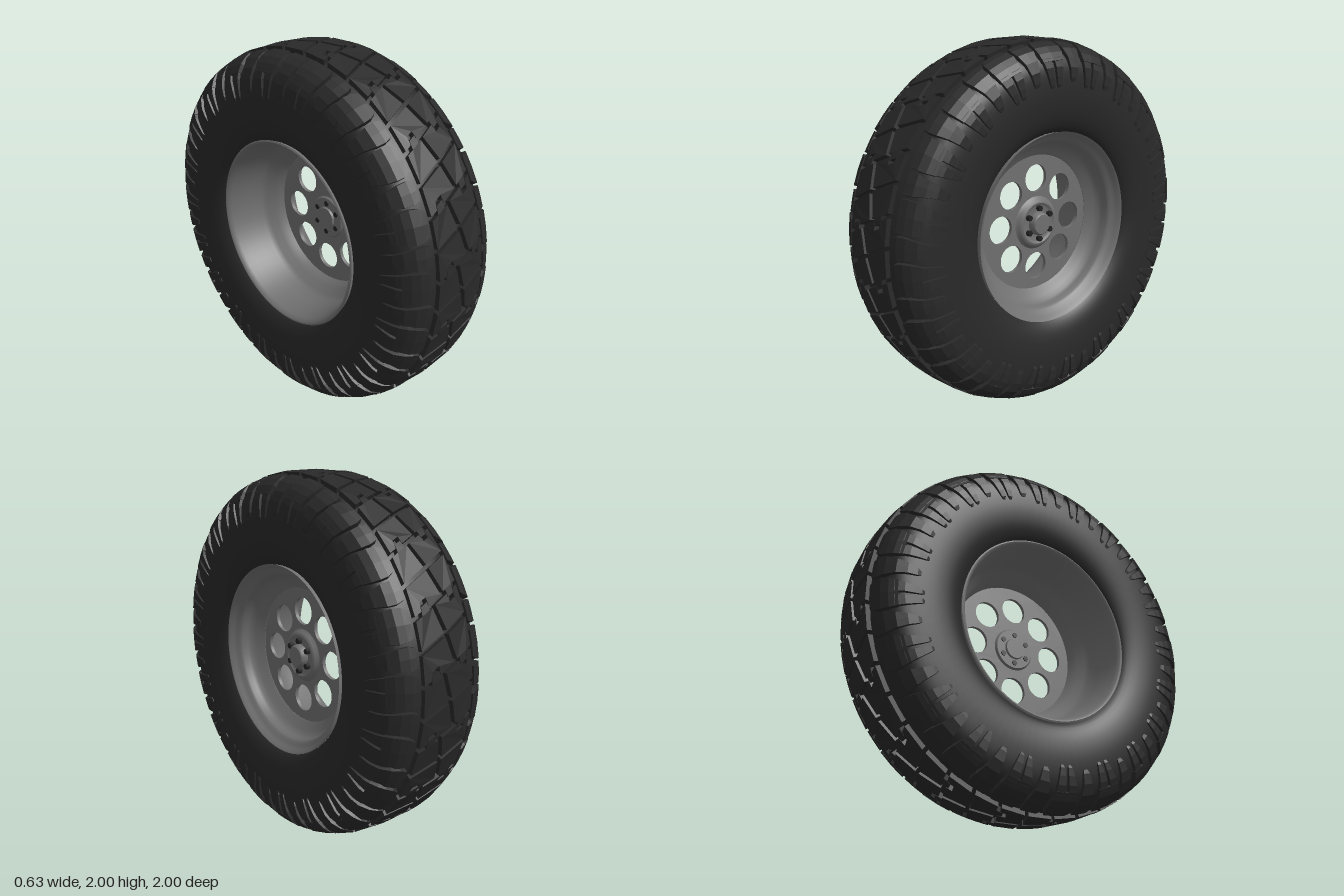
import * as THREE from 'three';
import { mergeGeometries, toCreasedNormals } from 'three/addons/utils/BufferGeometryUtils.js';

const PITCHES = 20;
const SLANT = 0.45;
const V2 = (p) => new THREE.Vector2(p[0], p[1]);

// Half of the tyre section as (x, radius), from tread centre to bead
const section = new THREE.SplineCurve([
  [0, 0.971], [0.1, 0.968], [0.17, 0.957], [0.235, 0.933], [0.277, 0.893], [0.298, 0.84],
  [0.306, 0.76], [0.304, 0.68], [0.289, 0.6], [0.262, 0.54], [0.235, 0.515],
].map(V2));
const sectionLength = section.getLength();

// Wrap flat tread coordinates (u across, v around, h height) onto the tyre
function wrap(u, v, h) {
  const t = Math.min(Math.abs(u) / sectionLength, 1);
  const p = section.getPointAt(t);
  const d = section.getTangentAt(t);
  const r = p.y + h * d.x;
  return [Math.sign(u) * (p.x - h * d.y), r * Math.cos(v), -r * Math.sin(v)];
}

// Centre block: a slanted, extruded outline bent onto the tyre
function centreBlock(outline, height) {
  const shape = new THREE.Shape(outline.map(([u, w]) => new THREE.Vector2(u, w + SLANT * u)));
  const g = new THREE.ExtrudeGeometry(shape, { depth: 1, bevelEnabled: false });
  const pos = g.attributes.position;
  for (let i = 0; i < pos.count; i++) {
    pos.setXYZ(i, ...wrap(pos.getX(i), pos.getY(i), pos.getZ(i) > 0.5 ? height : -0.01));
  }
  g.deleteAttribute('uv');
  g.computeVertexNormals();
  return g;
}

// Shoulder lug: rows of [distance across, centre, width, height] lofted down the side
function shoulderLug(rows, side) {
  const verts = [];
  const index = [];
  for (const [s, c, w, h] of rows) {
    const a = c - w / 2;
    const b = c + w / 2;
    const loop = [[a - 0.004, -0.008], [a, h], [c, h], [b, h], [b + 0.004, -0.008]];
    for (const [v, y] of loop) verts.push(...wrap(side * s, side * v, y));
  }
  for (let i = 0; i < rows.length - 1; i++) {
    for (let j = 0; j < 4; j++) {
      const a = i * 5 + j;
      index.push(a, a + 5, a + 6, a, a + 6, a + 1);
    }
  }
  const e = (rows.length - 1) * 5;
  for (let j = 1; j < 4; j++) index.push(0, j, j + 1, e, e + j + 1, e + j);
  const g = new THREE.BufferGeometry();
  g.setAttribute('position', new THREE.Float32BufferAttribute(verts, 3));
  g.setIndex(index);
  const flat = g.toNonIndexed();
  flat.computeVertexNormals();
  return flat;
}

// Surface of revolution around the x axis from (x, radius) points
function turned(points, segments = 72) {
  const g = new THREE.LatheGeometry(points.map(([x, r]) => new THREE.Vector2(r, x)), segments);
  return g.rotateZ(-Math.PI / 2);
}

export function createModel() {
  const rubber = new THREE.MeshStandardMaterial({ color: 0x292929 });
  const metal = new THREE.MeshStandardMaterial({ color: 0x707070, side: THREE.DoubleSide });
  const dark = new THREE.MeshStandardMaterial({ color: 0x222222 });

  const model = new THREE.Group();
  model.name = 'offRoadWheel';
  const wheel = new THREE.Group();
  wheel.name = 'wheel';
  wheel.position.y = 1;
  model.add(wheel);
  const add = (parent, name, geometry, material) => {
    const mesh = new THREE.Mesh(geometry, material);
    mesh.name = name;
    parent.add(mesh);
    return mesh;
  };

  // Tyre carcass
  const half = section.getSpacedPoints(26).map((p) => [p.x, p.y]);
  const full = [...half.slice(1).reverse().map(([x, r]) => [-x, r]), ...half];
  add(wheel, 'tyreCarcass', turned(full, 100), rubber);

  // One tread pitch: four centre blocks with hooked outer edges
  const lowerBlock = [
    [-0.152, -0.146], [-0.115, -0.146], [-0.11, -0.106], [-0.07, -0.106], [-0.065, -0.146],
    [0.0255, -0.146], [-0.008, -0.011], [-0.152, -0.011],
  ];
  const upperBlock = [
    [-0.152, 0.011], [-0.014, 0.011], [-0.0475, 0.146], [-0.065, 0.146], [-0.07, 0.186],
    [-0.11, 0.186], [-0.115, 0.146], [-0.152, 0.146],
  ];
  const parts = [];
  for (const block of [lowerBlock, upperBlock]) {
    parts.push(centreBlock(block, 0.028), centreBlock(block.map(([u, w]) => [-u, -w]), 0.028));
  }

  // Shoulder lugs: a wide one splitting into two fingers, and a narrow tapering one
  const wideLug = [
    [0.176, -0.075, 0.125, 0.023], [0.205, -0.075, 0.16, 0.025], [0.24, -0.077, 0.17, 0.024],
    [0.275, -0.079, 0.165, 0.021], [0.315, -0.082, 0.15, 0.018],
  ];
  const narrowLug = [
    [0.178, 0.08, 0.095, 0.022], [0.21, 0.082, 0.115, 0.023], [0.25, 0.083, 0.11, 0.021],
    [0.3, 0.081, 0.085, 0.017], [0.35, 0.079, 0.065, 0.014], [0.4, 0.076, 0.048, 0.009], [0.42, 0.075, 0.03, 0.003],
  ];
  const finger = (c, lean) => [
    [0.3, c, 0.062, 0.018], [0.345, c + lean * 0.3, 0.055, 0.015],
    [0.39, c + lean * 0.7, 0.045, 0.011], [0.43, c + lean, 0.032, 0.008], [0.445, c + lean, 0.02, 0.002],
  ];
  for (const side of [1, -1]) {
    for (const rows of [wideLug, narrowLug, finger(-0.125, 0.012), finger(-0.04, -0.012)]) {
      parts.push(shoulderLug(rows, side));
    }
  }
  const pitch = mergeGeometries(parts);
  const tread = new THREE.Group();
  tread.name = 'tread';
  wheel.add(tread);
  for (let i = 0; i < PITCHES; i++) {
    add(tread, 'treadPitch', pitch, rubber).rotation.x = (i / PITCHES) * Math.PI * 2;
  }

  // Rim barrel with lips at both ends, a drop centre by the disc and a stepped outer dish
  const rim = [
    [-0.235, 0.515], [-0.26, 0.524], [-0.264, 0.516], [-0.258, 0.506], [-0.235, 0.498], [-0.19, 0.488],
    [-0.1, 0.474], [-0.04, 0.466], [-0.01, 0.45], [0.02, 0.418], [0.05, 0.402], [0.085, 0.382],
    [0.097, 0.378], [0.11, 0.395], [0.13, 0.425], [0.15, 0.446], [0.17, 0.455], [0.2, 0.46],
    [0.212, 0.468], [0.222, 0.484], [0.24, 0.502], [0.258, 0.512], [0.264, 0.52], [0.235, 0.515],
  ];
  add(wheel, 'rimBarrel', toCreasedNormals(turned(rim), 0.7), metal);

  // Disc with eight round holes
  const disc = new THREE.Shape().absarc(0, 0, 0.388, 0, Math.PI * 2);
  for (let i = 0; i < 8; i++) {
    const a = (i / 8) * Math.PI * 2;
    const hole = new THREE.Path();
    hole.absarc(0.25 * Math.cos(a), 0.25 * Math.sin(a), 0.076, 0, Math.PI * 2, true);
    disc.holes.push(hole);
  }
  const discGeometry = new THREE.ExtrudeGeometry(disc, { depth: 0.02, bevelEnabled: false, curveSegments: 32 });
  discGeometry.rotateY(Math.PI / 2).translate(0.074, 0, 0);
  add(wheel, 'wheelDisc', discGeometry, metal);

  // Raised hub with centre cap, and its inner face
  const hub = [
    [0.093, 0.15], [0.098, 0.142], [0.11, 0.134], [0.119, 0.124], [0.121, 0.114], [0.116, 0.106],
    [0.112, 0.098], [0.112, 0.066], [0.142, 0.062], [0.15, 0.054], [0.152, 0],
  ];
  add(wheel, 'hub', toCreasedNormals(turned(hub, 40), 0.7), metal);
  const hubBack = [[0.075, 0.125], [0.062, 0.115], [0.062, 0.062], [0.05, 0.058], [0.05, 0]];
  add(wheel, 'hubBack', toCreasedNormals(turned(hubBack, 40), 0.6), metal);

  // Six lug nuts
  const nut = new THREE.CylinderGeometry(0.016, 0.016, 0.08, 6).rotateZ(Math.PI / 2);
  for (let i = 0; i < 6; i++) {
    const a = (i / 6) * Math.PI * 2;
    add(wheel, 'lugNut', nut, dark).position.set(0.096, 0.086 * Math.cos(a), 0.086 * Math.sin(a));
  }
  return model;
}
